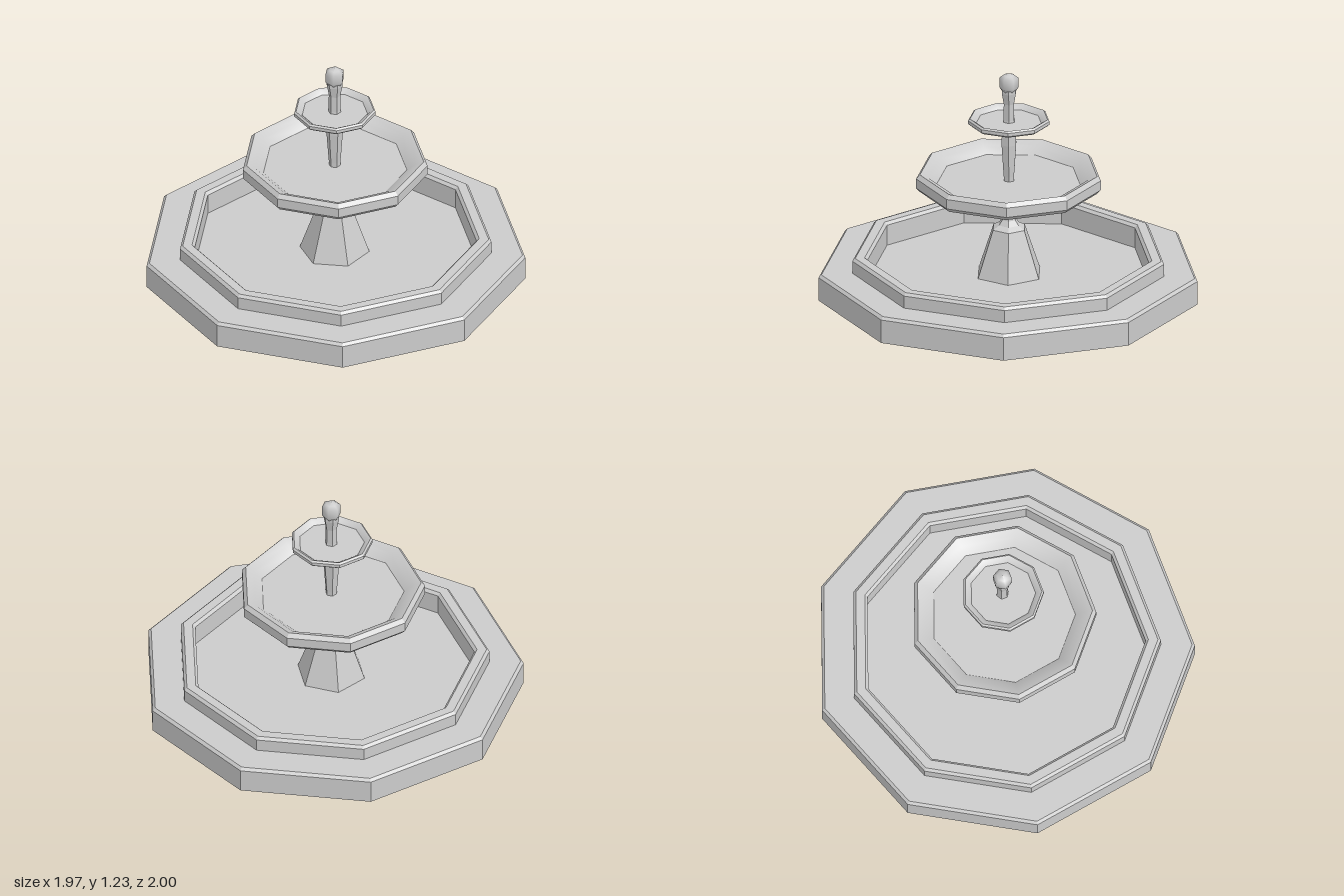
import * as THREE from 'three';

const smooth = new THREE.MeshStandardMaterial({ color: 0xcccccc });
const faceted = new THREE.MeshStandardMaterial({ color: 0xcccccc, flatShading: true });

// Turned part; profile runs from the bottom, up the outside, then inward
function turned(name, profile, sides, material = faceted, start = Math.PI / 2) {
  const points = profile.map(([r, y]) => new THREE.Vector2(r, y));
  const mesh = new THREE.Mesh(new THREE.LatheGeometry(points, sides, start), material);
  mesh.name = name;
  return mesh;
}

// Nine-sided dish with chamfered rim and a softly shaded hollow
function dish(name, r, bottom, top, chamfer, rise, floorR, floorY) {
  const group = new THREE.Group();
  group.name = name;
  const rim = r - chamfer;
  group.add(
    turned(name + 'Shell', [[0, bottom], [rim, bottom], [r, bottom + rise], [r, top - rise], [rim, top]], 9),
    turned(name + 'Hollow', [
      [rim, top],
      [(rim + floorR) / 2, top - (top - floorY) * 0.35],
      [floorR, floorY],
    ], 9, smooth),
    turned(name + 'Floor', [[floorR, floorY], [0, floorY]], 9),
  );
  return group;
}

export function createModel() {
  const fountain = new THREE.Group();
  fountain.name = 'fountain';

  // Stepped base with recessed pool
  fountain.add(turned('basePool', [
    [0, 0], [1.015, 0], [1.015, 0.13], [1, 0.145],
    [0.835, 0.145], [0.835, 0.213], [0.82, 0.228],
    [0.77, 0.228], [0.755, 0.213], [0.755, 0.1], [0, 0.1],
  ], 9));

  // Six-sided central column
  fountain.add(turned('column', [
    [0.185, 0.1], [0.095, 0.358], [0.06, 0.378], [0.04, 0.405], [0.031, 0.44],
    [0.028, 0.56], [0.031, 0.65], [0.035, 0.7], [0.044, 0.83], [0.043, 0.88],
    [0.032, 0.97], [0.031, 1.06], [0.042, 1.12], [0.042, 1.14], [0, 1.14],
  ], 6));

  // Tiers
  fountain.add(dish('lowerDish', 0.495, 0.585, 0.682, 0.02, 0.022, 0.385, 0.625));
  fountain.add(dish('upperDish', 0.218, 0.947, 0.983, 0.01, 0.009, 0.175, 0.958));

  // Finial ball
  fountain.add(turned('finial', [
    [0, 1.13], [0.037, 1.13], [0.051, 1.152], [0.051, 1.205], [0.03, 1.22], [0, 1.23],
  ], 6, smooth, 0));

  // Nine-sided outline is centred by its bounds, so the axis sits off x = 0
  fountain.children.forEach((part) => { part.position.x = -0.031; });
  return fountain;
}
